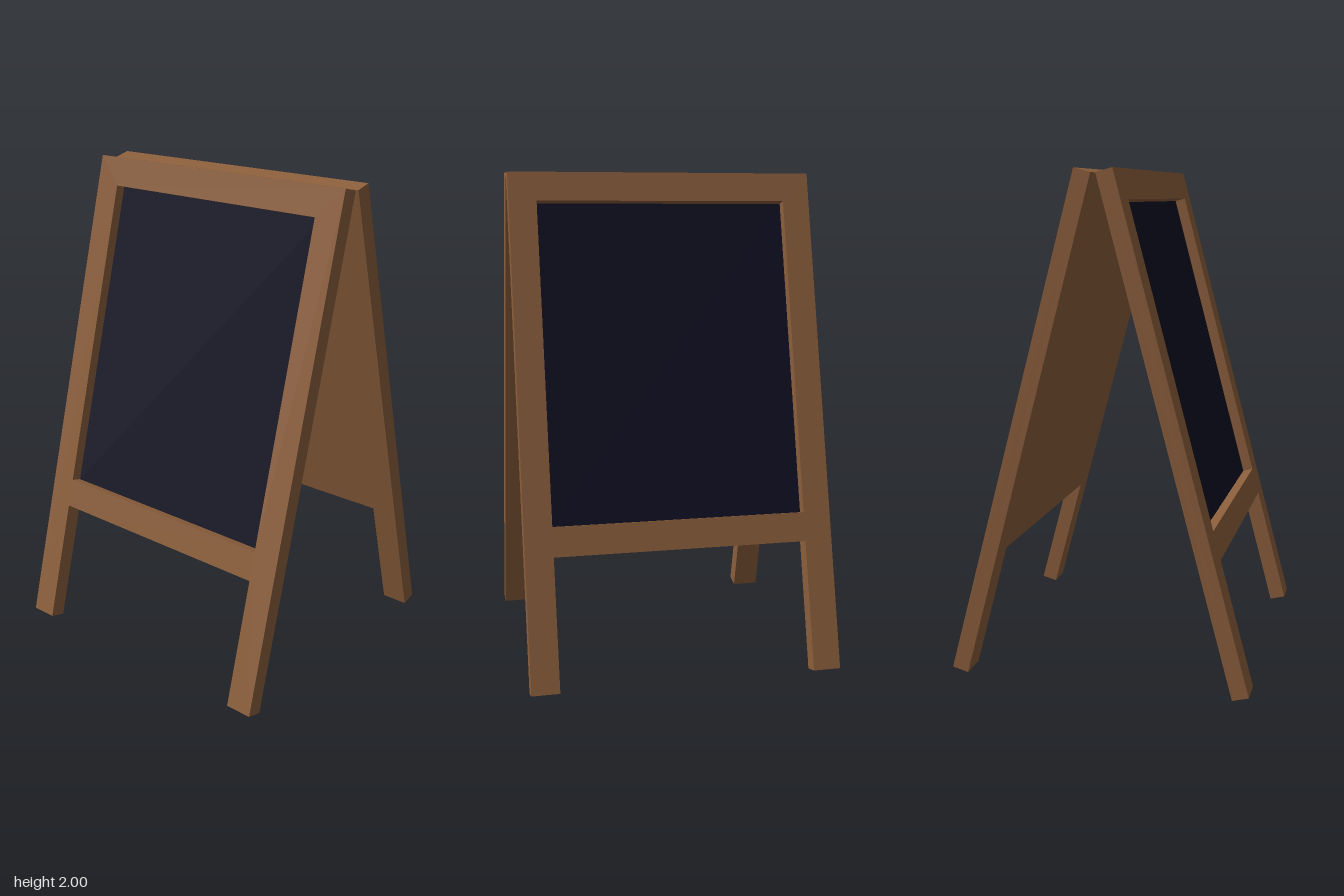
import * as THREE from 'three';

const TILT = Math.PI / 12;
const LENGTH = 2.0525, HALF = 0.627, INNER = 0.515;
const THICK = 0.067, BACKING = 0.021;
const RAIL_TOP = -0.118, BOARD_BOTTOM = -1.414, RAIL_BOTTOM = -1.532;

const wood = new THREE.MeshStandardMaterial({ color: 0x8b5e3c });
wood.name = 'brown wood';
const slate = new THREE.MeshStandardMaterial({ color: 0x0e0e22 });
slate.name = 'dark slate';

const points = (list) => list.map(([x, y]) => new THREE.Vector2(x, y));

// Panel outline: rectangle with two legs below the bottom rail
function outline() {
  return new THREE.Shape(points([
    [-HALF, 0], [-HALF, -LENGTH], [-INNER, -LENGTH], [-INNER, RAIL_BOTTOM],
    [INNER, RAIL_BOTTOM], [INNER, -LENGTH], [HALF, -LENGTH], [HALF, 0],
  ]));
}

function part(name, geometry, material, z) {
  const mesh = new THREE.Mesh(geometry, material);
  mesh.name = name;
  mesh.position.z = z;
  return mesh;
}

function makePanel(name) {
  const panel = new THREE.Group();
  panel.name = name;

  // Solid wooden back, flush with the legs
  const back = new THREE.ExtrudeGeometry(outline(), { depth: BACKING, bevelEnabled: false });
  panel.add(part('backing', back, wood, 0));

  // Raised frame around the writing surface
  const frameShape = outline();
  frameShape.holes.push(new THREE.Path(points([
    [-INNER, RAIL_TOP], [INNER, RAIL_TOP], [INNER, BOARD_BOTTOM], [-INNER, BOARD_BOTTOM],
  ])));
  const frame = new THREE.ExtrudeGeometry(frameShape, { depth: THICK - BACKING, bevelEnabled: false });
  panel.add(part('frame', frame, wood, BACKING));

  // Recessed writing surface
  const board = new THREE.PlaneGeometry(INNER * 2, RAIL_TOP - BOARD_BOTTOM);
  board.translate(0, (RAIL_TOP + BOARD_BOTTOM) / 2, 0);
  panel.add(part('chalkboard', board, slate, BACKING + 0.002));

  // Face outward along +x, then lean with the foot out
  panel.rotation.set(0, Math.PI / 2, TILT, 'ZYX');
  panel.position.set(0.009, LENGTH * Math.cos(TILT), 0);
  return panel;
}

export function createModel() {
  const model = new THREE.Group();
  model.name = 'sandwichBoard';
  ['left', 'right'].forEach((side, i) => {
    const half = new THREE.Group();
    half.name = side + 'Half';
    half.add(makePanel(side + 'Panel'));
    half.rotation.y = i * Math.PI;
    model.add(half);
  });
  return model;
}
